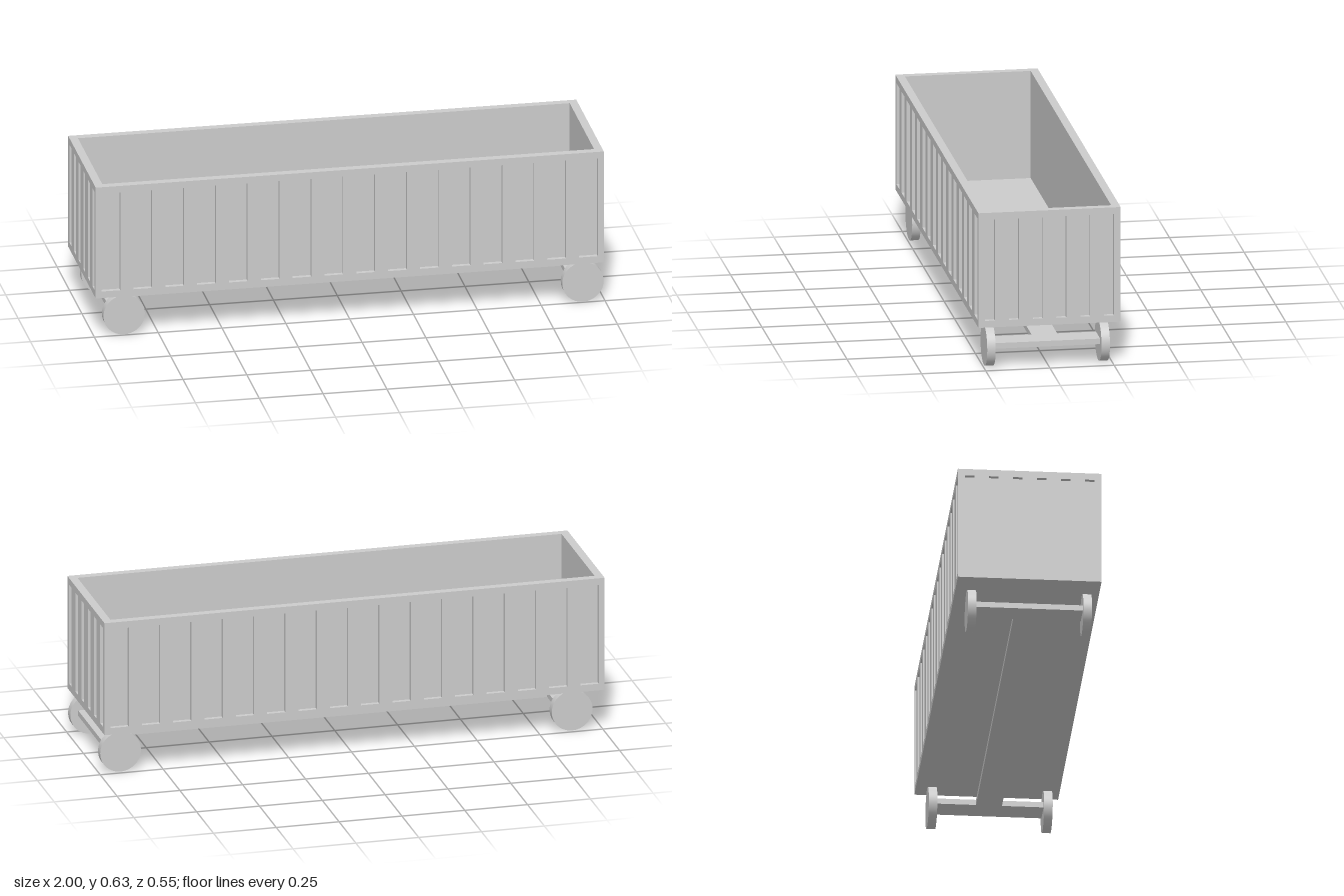
import * as THREE from 'three';

const material = new THREE.MeshStandardMaterial({ color: 0xcccccc });

// Container extents
const X0 = -1, X1 = 0.99, HALF_Z = 0.277, Y0 = 0.17, Y1 = 0.628;
const CX = (X0 + X1) / 2, LENGTH = X1 - X0, HEIGHT = Y1 - Y0;
const GROOVE = 0.018, WALL = 0.032, FLOOR = 0.03;

export function createModel() {
  const model = new THREE.Group();
  model.name = 'railWagon';

  const add = (name, geometry, x, y, z) => {
    const mesh = new THREE.Mesh(geometry, material);
    mesh.name = name;
    mesh.position.set(x, y, z);
    model.add(mesh);
    return mesh;
  };
  const box = (name, x0, x1, y0, y1, z0, z1) =>
    add(name, new THREE.BoxGeometry(x1 - x0, y1 - y0, z1 - z0),
      (x0 + x1) / 2, (y0 + y1) / 2, (z0 + z1) / 2);

  const rect = (Type, w, y0, y1, cx = 0) => {
    const r = new Type();
    r.moveTo(cx - w / 2, y0);
    r.lineTo(cx + w / 2, y0);
    r.lineTo(cx + w / 2, y1);
    r.lineTo(cx - w / 2, y1);
    r.closePath();
    return r;
  };

  // Outer skin with a row of upright slots, facing +z before rotation
  const slottedPanel = (width, count, pitch, slotWidth) => {
    const shape = rect(THREE.Shape, width, 0, HEIGHT);
    for (let i = 0; i < count; i++) {
      const cx = (i - (count - 1) / 2) * pitch;
      shape.holes.push(rect(THREE.Path, slotWidth, 0.027, 0.431, cx));
    }
    return new THREE.ExtrudeGeometry(shape, { depth: GROOVE, bevelEnabled: false });
  };

  const side = slottedPanel(LENGTH, 16, 0.1247, 0.073);
  add('frontSidePanel', side, CX, Y0, HALF_Z - GROOVE);
  add('backSidePanel', side, CX, Y0, -HALF_Z + GROOVE).rotation.y = Math.PI;

  const end = slottedPanel(2 * (HALF_Z - GROOVE), 6, 0.0926, 0.038);
  add('leftEndPanel', end, X1 - GROOVE, Y0, 0).rotation.y = Math.PI / 2;
  add('rightEndPanel', end, X0 + GROOVE, Y0, 0).rotation.y = -Math.PI / 2;

  // Inner wall ring behind the slots
  const outerZ = HALF_Z - GROOVE, innerZ = HALF_Z - WALL;
  const ring = rect(THREE.Shape, LENGTH - 2 * GROOVE, -outerZ, outerZ);
  ring.holes.push(rect(THREE.Path, LENGTH - 2 * WALL, -innerZ, innerZ));
  add('innerWalls', new THREE.ExtrudeGeometry(ring, { depth: HEIGHT, bevelEnabled: false }),
    CX, Y0, 0).rotation.x = -Math.PI / 2;
  box('floor', X0 + WALL, X1 - WALL, Y0, Y0 + FLOOR, -innerZ, innerZ);

  // Undercarriage
  const axles = [-0.882, 0.915];
  const axleHalf = 0.05;
  box('spine', axles[0] + axleHalf, axles[1] - axleHalf, 0.077, 0.099, -0.05, 0.05);
  box('rightSupport', -0.45, -0.288, 0.099, Y0, -0.033, 0.033);
  box('leftSupport', 0.272, 0.405, 0.099, Y0, -0.033, 0.033);

  // Axles and wheels
  const wheel = new THREE.CylinderGeometry(0.081, 0.081, 0.033, 48);
  wheel.rotateX(Math.PI / 2);
  for (const x of axles) {
    box('axle', x - axleHalf, x + axleHalf, 0.077, 0.099, -0.205, 0.212);
    add('frontWheel', wheel, x, 0.081, 0.227);
    add('backWheel', wheel, x, 0.081, -0.218);
  }
  return model;
}
